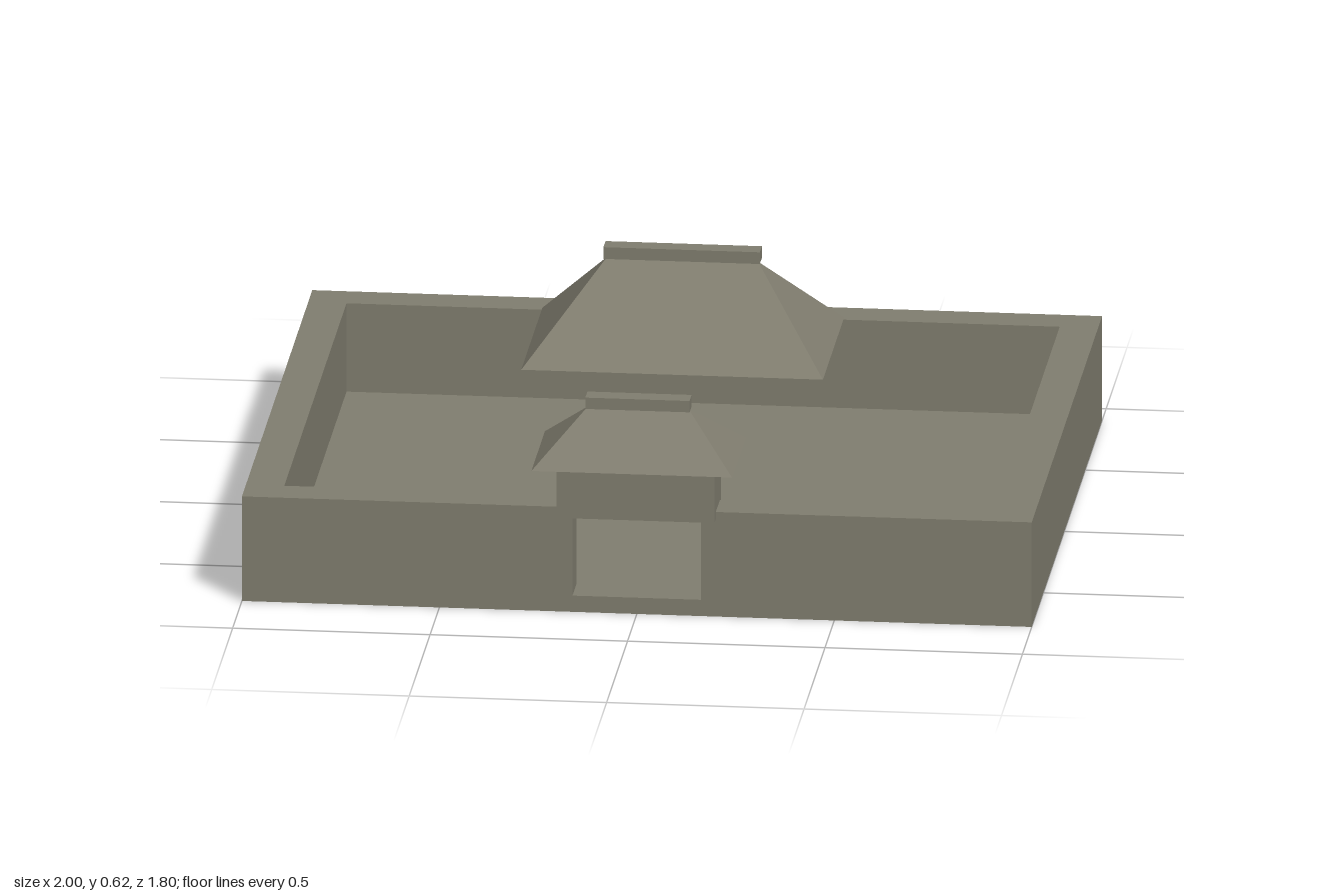
import * as THREE from 'three';

const stone = new THREE.MeshStandardMaterial({ color: 0x807d6f, side: THREE.DoubleSide, flatShading: true });
stone.name = 'greyBrownStone';

// Box given by its limits, left open underneath
function openBox(name, x0, x1, y0, y1, z0, z1) {
  const geo = new THREE.BoxGeometry(x1 - x0, y1 - y0, z1 - z0);
  const index = Array.from(geo.index.array);
  index.splice(18, 6); // the downward face
  geo.setIndex(index);
  geo.clearGroups();
  const mesh = new THREE.Mesh(geo, stone);
  mesh.name = name;
  mesh.position.set((x0 + x1) / 2, (y0 + y1) / 2, (z0 + z1) / 2);
  return mesh;
}

// Hipped roof shell: rectangular eaves rising to a shorter ridge line
function hipRoof(name, halfX, halfZ, halfRidge, y0, y1, z) {
  const p = [
    [-halfX, y0, halfZ], [halfX, y0, halfZ], [halfX, y0, -halfZ], [-halfX, y0, -halfZ],
    [-halfRidge, y1, 0], [halfRidge, y1, 0],
  ];
  const faces = [0, 1, 5, 0, 5, 4, 1, 2, 5, 2, 3, 4, 2, 4, 5, 3, 0, 4];
  const geo = new THREE.BufferGeometry();
  geo.setAttribute('position', new THREE.Float32BufferAttribute(faces.flatMap((i) => p[i]), 3));
  geo.computeVertexNormals();
  const mesh = new THREE.Mesh(geo, stone);
  mesh.name = name;
  mesh.position.z = z;
  return mesh;
}

export function createModel() {
  const model = new THREE.Group();
  model.name = 'walledCourtyard';

  const back = -0.903, front = 0.778, thick = 0.097, wallTop = 0.277, gate = 0.163;

  // Courtyard floor
  model.add(openBox('courtyardFloor', -1, 1, 0, 0.043, back, front));

  // Enclosing walls, the front one parted by the gateway
  model.add(openBox('backWall', -1, 1, 0, wallTop, back, back + thick));
  model.add(openBox('rightWall', -1, -1 + thick, 0, wallTop, back, front));
  model.add(openBox('leftWall', 1 - thick, 1, 0, wallTop, back, front));
  model.add(openBox('frontWallRight', -1, -gate, 0, wallTop, front - thick, front));
  model.add(openBox('frontWallLeft', gate, 1, 0, wallTop, front - thick, front));

  // Gatehouse over the opening
  const gatehouse = new THREE.Group();
  gatehouse.name = 'gatehouse';
  gatehouse.add(openBox('gateLintel', -0.2, 0.2, 0.258, 0.382, 0.65, 0.81));
  gatehouse.add(hipRoof('gateRoof', 0.254, 0.162, 0.128, 0.41, 0.533, 0.739));
  gatehouse.add(openBox('gateRidge', -0.132, 0.132, 0.534, 0.564, 0.714, 0.764));
  model.add(gatehouse);

  // Main hall roof
  const hall = new THREE.Group();
  hall.name = 'mainHall';
  hall.add(hipRoof('hallRoof', 0.382, 0.253, 0.191, 0.36, 0.584, -0.317));
  hall.add(openBox('hallRidge', -0.198, 0.198, 0.586, 0.617, -0.342, -0.292));
  model.add(hall);

  return model;
}
